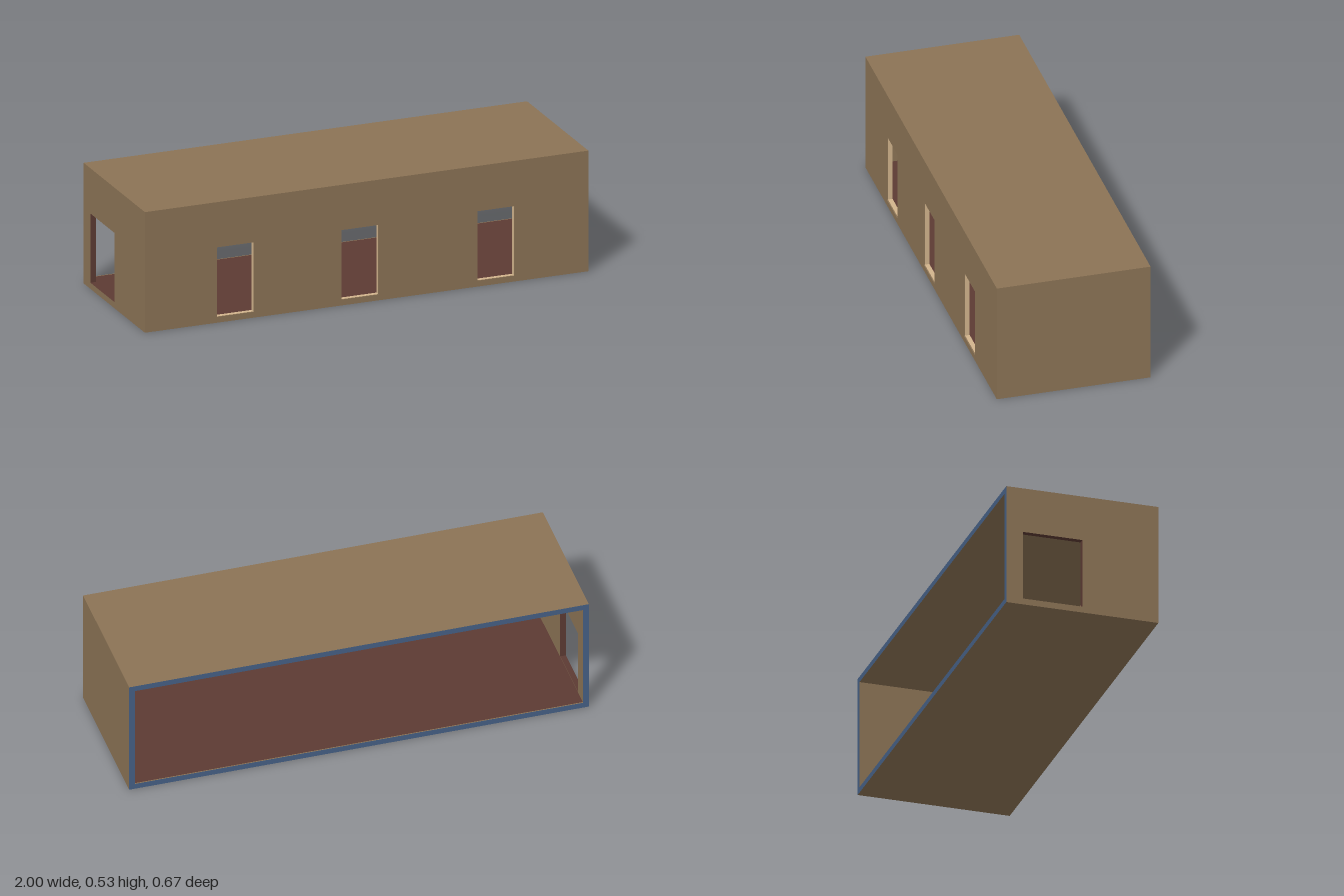
import * as THREE from 'three';

const material = (name, color) => {
  const m = new THREE.MeshStandardMaterial({ color });
  m.name = name;
  return m;
};

export function createModel() {
  const brown = material('outer brown', 0x8b7355);
  const tan = material('inner tan', 0xd2b48c);
  const red = material('floor red brown', 0x5c3a33);
  const blue = material('rim blue', 0x456085);

  const W = 1, H = 0.533, D = 0.333; // half width, height, half depth
  const T = 0.025;                   // wall thickness
  const SKIN = 0.005;                // thin facing plates
  const BASE = T - SKIN;
  const DOOR_TOP = 0.333;

  const group = new THREE.Group();
  group.name = 'openBackHouse';

  const add = (name, geometry, mat) => {
    const mesh = new THREE.Mesh(geometry, mat);
    mesh.name = name;
    group.add(mesh);
    return mesh;
  };

  // Box given by its minimum and maximum corners
  const box = (name, mat, [x0, y0, z0], [x1, y1, z1]) =>
    add(name, new THREE.BoxGeometry(x1 - x0, y1 - y0, z1 - z0), mat)
      .position.set((x0 + x1) / 2, (y0 + y1) / 2, (z0 + z1) / 2);

  // Upright panel with rectangular openings; rectangles are [x0, y0, x1, y1]
  const corners = ([x0, y0, x1, y1]) =>
    [[x0, y0], [x1, y0], [x1, y1], [x0, y1]].map(p => new THREE.Vector2(...p));
  const panel = (name, mats, outline, openings, depth) => {
    const shape = new THREE.Shape(corners(outline));
    shape.holes = openings.map(o => new THREE.Path(corners(o).reverse()));
    return add(name, new THREE.ExtrudeGeometry(shape, { depth, bevelEnabled: false }), mats);
  };

  // Floor slab with its coloured covering, and the flat roof
  const zIn = D - SKIN;
  box('floorSlab', brown, [-W, 0, -zIn], [W, BASE, zIn]);
  box('floorCovering', red, [-W + T, BASE, -zIn], [W - T, T, D - T]);
  box('roof', brown, [-W, H - T, -zIn], [W, H, zIn]);

  // Closed end wall
  box('leftEndWall', brown, [W - T, BASE, -zIn], [W, H - T, zIn]);

  // End wall with a doorway lined in the floor colour
  const rightEnd = panel('rightEndWall', [brown, red],
    [-zIn, BASE, zIn, H - T], [[-0.26, T + 0.002, 0, DOOR_TOP]], T);
  rightEnd.rotation.y = -Math.PI / 2;
  rightEnd.position.x = -W + T;

  // Front wall: tan core under a brown outer face, three doorways
  const doorways = [-0.675, -0.113, 0.499]
    .map(x => [x, T + 0.001, x + 0.167, DOOR_TOP]);
  panel('frontWallInner', tan, [-W + T, BASE, W - T, H - T], doorways, T - SKIN)
    .position.z = D - T;
  panel('frontWallOuter', brown, [-W, 0, W, H], doorways, SKIN).position.z = zIn;

  // Blue cut edge around the open back
  panel('backRim', [blue, brown], [-W, 0, W, H],
    [[-W + T, T, W - T, H - T]], SKIN).position.z = -D;

  return group;
}
